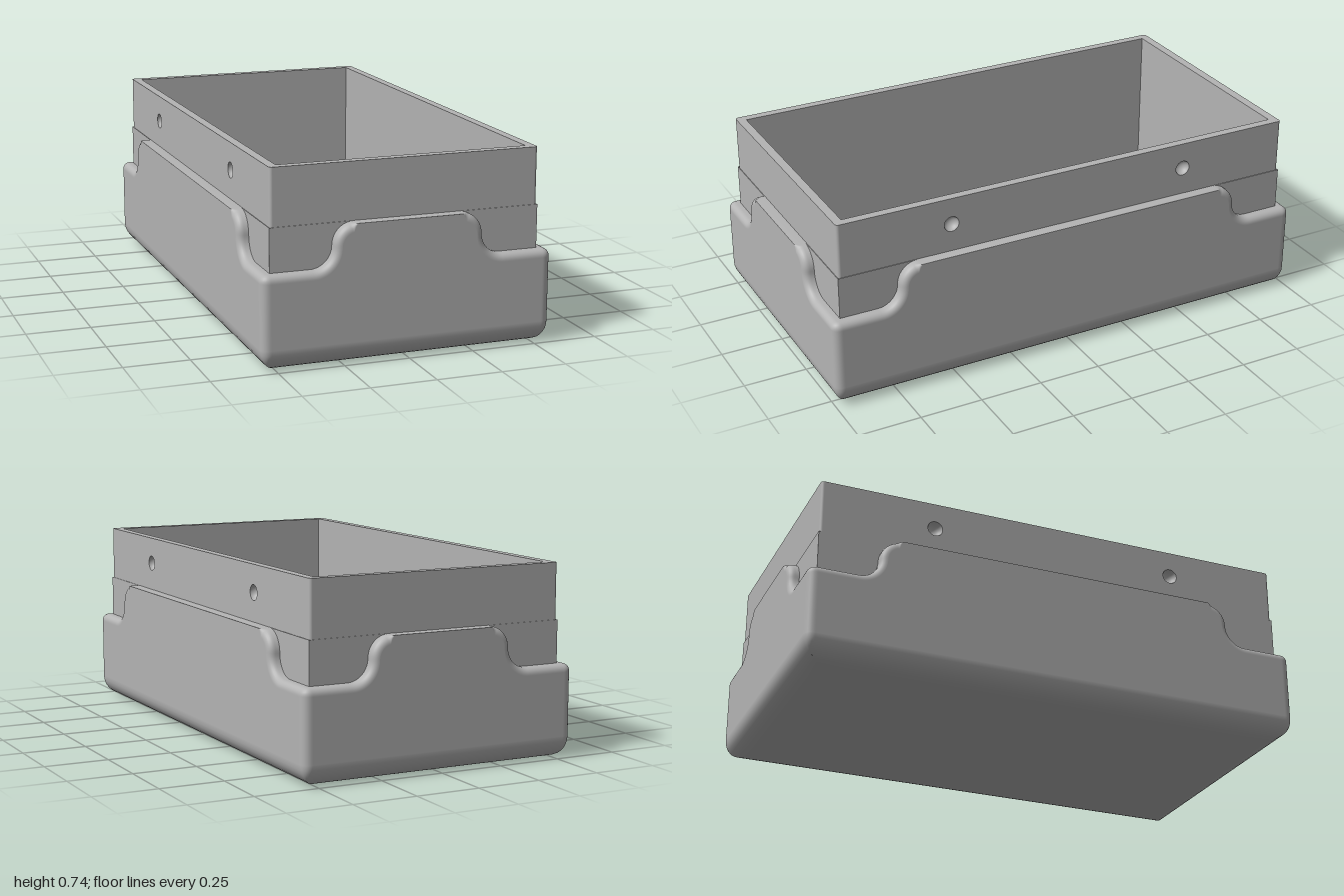
import * as THREE from 'three';
import { toCreasedNormals } from 'three/addons/utils/BufferGeometryUtils.js';

const HX = 0.56, HZ = 1;              // half width and half length of the tray
const RC = 0.032, B = 0.08;           // vertical corner radius, bottom fillet
const LOW = 0.356, HIGH = 0.52;       // rim heights
const LIP = 0.026, WALL = 0.0425;     // rim rounding, tray wall thickness

// Rim columns along one half of a side, from plateau to corner; c is the middle of the S-curve
function halfRim(c, half) {
  const R = (HIGH - LOW) / 2, mid = (HIGH + LOW) / 2, N = 14, cols = [];
  for (let i = 0; i <= N; i++) {
    const a = (Math.PI / 2) * (1 - i / N), nu = Math.cos(a), ny = Math.sin(a);
    cols.push({ u: c - R + R * nu, y: mid + R * ny, nu, ny, r: LIP * Math.max(0.03, Math.min(1, i / 2)) });
  }
  for (let i = 1; i <= N; i++) {
    const a = Math.PI + (Math.PI / 2) * (i / N), nu = -Math.cos(a), ny = -Math.sin(a);
    cols.push({ u: c + R - R * nu, y: mid - R * ny, nu, ny, r: LIP });
  }
  cols.push({ u: half - RC - 0.005, y: LOW, nu: 0, ny: 1, r: LIP });
  return cols;
}

// Tray shell: columns run round the perimeter, rings climb from the underside over the lip
function trayGeometry() {
  const columns = [];
  const dirs = [[0, 1], [1, 0], [0, -1], [-1, 0]];
  dirs.forEach((n, k) => {
    const a = dirs[(k + 1) % 4];
    const half = k % 2 ? HZ : HX, out = k % 2 ? HX : HZ;
    const right = halfRim(k % 2 ? 0.725 : 0.285, half);
    const left = right.map(p => ({ ...p, u: -p.u, nu: -p.nu })).reverse();
    for (const p of [...left, ...right]) {
      const place = (u, y, d) => {
        const lim = half - Math.max(RC, d);
        const s = Math.max(-lim, Math.min(lim, u));
        return [a[0] * s + n[0] * (out - d), y, a[1] * s + n[1] * (out - d)];
      };
      columns.push({ ...p, place });
    }
    for (let i = 0; i <= 6; i++) {
      const f = (Math.PI / 2) * (i / 6), co = Math.cos(f), si = Math.sin(f);
      const place = (u, y, d) => {
        const m = Math.max(RC, d), r = Math.max(RC - d, 0);
        const s = half - m + r * si, w = out - m + r * co;
        return [a[0] * s + n[0] * w, y, a[1] * s + n[1] * w];
      };
      columns.push({ u: 0, y: LOW, nu: 0, ny: 1, r: LIP, place });
    }
  });

  const pos = [], index = [];
  let rings = 0;
  for (const c of columns) {
    const pts = [], wallU = c.u - c.nu * c.r;
    for (let i = 0; i <= 8; i++) {
      const t = (Math.PI / 2) * (i / 8);
      pts.push(c.place(wallU, B * (1 - Math.cos(t)), B * (1 - Math.sin(t))));
    }
    // Narrow bands keep the tall wall flat between its two fillets
    pts.push(c.place(wallU, B + 0.004, 0), c.place(wallU, c.y - c.ny * c.r - 0.004, 0));
    for (let i = 0; i <= 6; i++) {
      const t = (Math.PI / 2) * (i / 6), off = c.r * (1 - Math.sin(t));
      pts.push(c.place(c.u - c.nu * off, c.y - c.ny * off, c.r * (1 - Math.cos(t))));
    }
    pts.push(c.place(c.u, c.y, WALL), c.place(c.u, 0.3, WALL));
    rings = pts.length;
    pts.forEach(p => pos.push(...p));
  }
  for (let i = 0; i < columns.length; i++) {
    const j = (i + 1) % columns.length;
    for (let k = 0; k < rings - 1; k++) {
      const p = i * rings + k, q = j * rings + k;
      index.push(p, q, q + 1, p, q + 1, p + 1);
    }
  }
  const g = new THREE.BufferGeometry();
  g.setAttribute('position', new THREE.Float32BufferAttribute(pos, 3));
  g.setIndex(index);
  // Creasing merges points closer than 0.01, so it is done at a larger scale
  g.scale(100, 100, 100);
  return toCreasedNormals(g, 0.6).scale(0.01, 0.01, 0.01);
}

export function createModel() {
  const group = new THREE.Group();
  const grey = new THREE.MeshStandardMaterial({ color: 0xb4b4b4 });
  grey.name = 'plain grey';
  const greyInside = grey.clone();
  greyInside.side = THREE.BackSide;

  const add = (name, geometry, x = 0, y = 0, z = 0, material = grey) => {
    const m = new THREE.Mesh(geometry, material);
    m.name = name;
    m.position.set(x, y, z);
    group.add(m);
    return m;
  };

  // Outer tray and its flat underside
  add('outerTray', trayGeometry());
  const under = add('trayUnderside', new THREE.PlaneGeometry(2 * (HX - B), 2 * (HZ - B)));
  under.rotation.x = Math.PI / 2;

  // Inner box; its walls stop at the floor, which rests on the tray base
  const X = 0.515, Z = 0.955, T = 0.035, FLOOR = 0.045, TOP = 0.735, CR = 0.012;
  const H = TOP - FLOOR, midY = (TOP + FLOOR) / 2;
  add('innerFloor', new THREE.BoxGeometry(2 * X - 0.02, 0.03, 2 * Z - 0.02), 0, FLOOR - 0.015, 0);

  // Thin tray lining that stands full height round the box, bare at the cut-away corners
  const LX = HX - WALL, LZ = HZ - WALL, LB = 0.3, LH = HIGH - LB;

  // Side wall face with round openings for the dimples
  const DR = 0.03, DY = 0.63, DZ = 0.5, skin = 0.031;
  const wall = new THREE.Shape();
  wall.moveTo(-(Z - CR), FLOOR);
  wall.lineTo(Z - CR, FLOOR);
  wall.lineTo(Z - CR, TOP);
  wall.lineTo(-(Z - CR), TOP);
  wall.closePath();
  for (const s of [-1, 1]) {
    const hole = new THREE.Path();
    hole.absarc(s * DZ, DY, DR, 0, Math.PI * 2, true);
    wall.holes.push(hole);
  }
  const wallGeo = new THREE.ExtrudeGeometry(wall, { depth: skin, bevelEnabled: false, curveSegments: 24 });
  const dimpleGeo = new THREE.SphereGeometry(DR, 24, 10, 0, Math.PI * 2, 0, Math.PI / 2);

  for (const s of [-1, 1]) {
    const side = s > 0 ? 'left' : 'right', end = s > 0 ? 'front' : 'back';
    const w = add(side + 'BoxWall', wallGeo, s * (X - skin), 0, 0);
    w.rotation.y = s * Math.PI / 2;
    add(side + 'BoxBacking', new THREE.BoxGeometry(T - skin, H, 2 * (Z - CR)), s * (X - T + (T - skin) / 2), midY, 0);
    add(end + 'BoxWall', new THREE.BoxGeometry(2 * (X - CR), H, T), 0, midY, s * (Z - T / 2));
    add(side + 'TrayLining', new THREE.BoxGeometry(LX - X, LH, 2 * LZ), s * (X + LX) / 2, LB + LH / 2, 0);
    add(end + 'TrayLining', new THREE.BoxGeometry(2 * X, LH, LZ - Z), 0, LB + LH / 2, s * (Z + LZ) / 2);
    for (const e of [-1, 1]) {
      // Rounded vertical corners and hemispherical dimples
      add(side + 'BoxCorner', new THREE.CylinderGeometry(CR, CR, H, 20), s * (X - CR), midY, e * (Z - CR));
      const d = add(side + 'Dimple', dimpleGeo, s * X, DY, e * DZ, greyInside);
      d.rotation.z = s * Math.PI / 2;
    }
  }
  return group;
}
